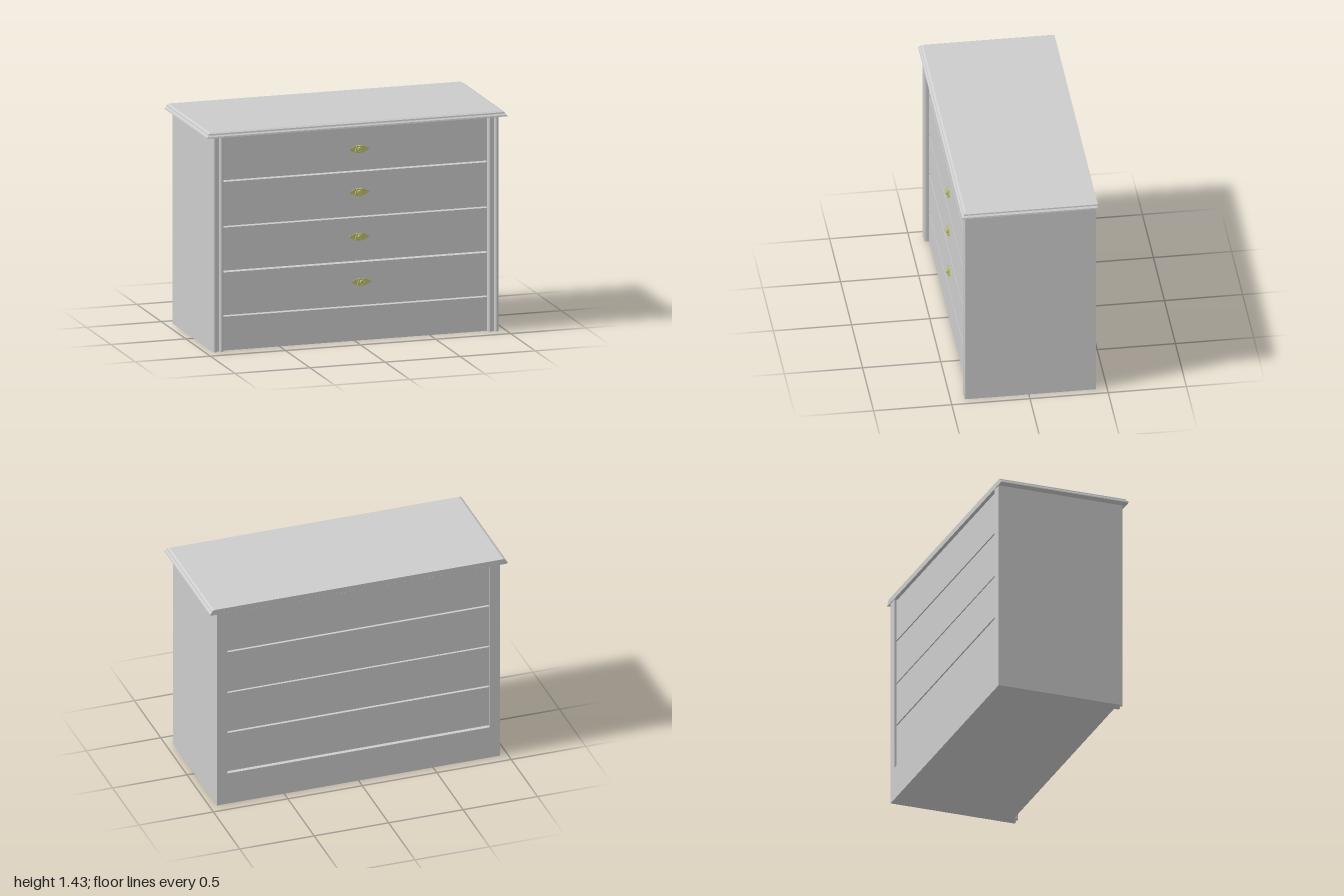
import * as THREE from 'three';

const wood = new THREE.MeshStandardMaterial({ color: 0xcccccc });
const brass = new THREE.MeshStandardMaterial({ color: 0xbdbd72 });

const BACK = -0.43, FACE = 0.38; // rear of the carcass, plane of the drawer fronts

function add(parent, name, geometry, material = wood) {
  const mesh = new THREE.Mesh(geometry, material);
  mesh.name = name;
  parent.add(mesh);
  return mesh;
}

// Box given by its limits on each axis
function box(x0, x1, y0, y1, z0, z1) {
  return new THREE.BoxGeometry(x1 - x0, y1 - y0, z1 - z0)
    .translate((x0 + x1) / 2, (y0 + y1) / 2, (z0 + z1) / 2);
}

// Top board: rectangular rings stacked upward, moulded on front and sides, flat at the back
function topGeometry() {
  const rings = [[0.985, 1.395], [1, 1.398], [0.998, 1.407], [0.988, 1.415], [0.986, 1.424], [0.972, 1.432]]
    .map(([x, y]) => {
      const f = x - 0.566;
      return [[-x, y, BACK - 0.004], [-x, y, f], [x, y, f], [x, y, BACK - 0.004]];
    });
  const pos = [];
  const quad = (a, b, c, d) => pos.push(...a, ...b, ...c, ...a, ...c, ...d);
  for (let r = 0; r < rings.length - 1; r++) {
    for (let i = 0; i < 4; i++) {
      const j = (i + 1) % 4;
      quad(rings[r][i], rings[r][j], rings[r + 1][j], rings[r + 1][i]);
    }
  }
  quad(...rings[rings.length - 1]);
  quad(...[...rings[0]].reverse());
  const g = new THREE.BufferGeometry();
  g.setAttribute('position', new THREE.Float32BufferAttribute(pos, 3));
  g.computeVertexNormals();
  return g;
}

// Reeded corner post: two rounded beads with a groove, extruded upward
function postGeometry() {
  const s = new THREE.Shape();
  s.moveTo(-0.035, 0);
  s.lineTo(0.035, 0);
  s.lineTo(0.035, 0.024);
  s.quadraticCurveTo(0.033, 0.034, 0.022, 0.034);
  s.quadraticCurveTo(0.012, 0.033, 0.008, 0.017);
  s.lineTo(-0.006, 0.017);
  s.quadraticCurveTo(-0.012, 0.033, -0.02, 0.033);
  s.quadraticCurveTo(-0.033, 0.032, -0.035, 0.016);
  s.closePath();
  return new THREE.ExtrudeGeometry(s, { depth: 1.395, bevelEnabled: false, curveSegments: 6 })
    .rotateX(-Math.PI / 2).scale(1, 1, -1);
}

// Mirrored extrusions need their winding turned round
function flip(g) {
  const p = g.attributes.position.array;
  for (let i = 0; i < p.length; i += 9) {
    for (let k = 0; k < 3; k++) [p[i + 3 + k], p[i + 6 + k]] = [p[i + 6 + k], p[i + 3 + k]];
  }
  g.computeVertexNormals();
  return g;
}

// Pull: pointed oval back plate, small tapered grip and a round boss
function makePull() {
  const pull = new THREE.Group();
  pull.name = 'pull';
  const plate = new THREE.Shape();
  plate.moveTo(-0.07, 0);
  plate.bezierCurveTo(-0.045, 0.012, -0.035, 0.025, 0, 0.025);
  plate.bezierCurveTo(0.035, 0.025, 0.045, 0.012, 0.07, 0);
  plate.bezierCurveTo(0.045, -0.012, 0.035, -0.025, 0, -0.025);
  plate.bezierCurveTo(-0.035, -0.025, -0.045, -0.012, -0.07, 0);
  add(pull, 'backPlate', new THREE.ExtrudeGeometry(plate, { depth: 0.004, bevelEnabled: false, curveSegments: 6 }), brass);

  const grip = new THREE.Shape([[-0.032, -0.018], [0.032, -0.018], [0.02, 0.024], [-0.02, 0.024]]
    .map(([x, y]) => new THREE.Vector2(x, y)));
  grip.holes.push(new THREE.Path().absarc(0, 0.002, 0.016, 0, Math.PI * 2, true));
  add(pull, 'grip', new THREE.ExtrudeGeometry(grip, { depth: 0.014, bevelEnabled: false, curveSegments: 6 }), brass);

  const boss = add(pull, 'boss', new THREE.CylinderGeometry(0.012, 0.015, 0.022, 10).rotateX(Math.PI / 2), brass);
  boss.position.set(0, 0.002, 0.011);
  return pull;
}

export function createModel() {
  const model = new THREE.Group();
  model.name = 'chestOfDrawers';

  add(model, 'topBoard', topGeometry());
  add(model, 'plinth', box(-0.88, 0.88, 0, 0.22, BACK, FACE));

  // Sides with their reeded front posts
  for (const side of [-1, 1]) {
    const name = side > 0 ? 'left' : 'right';
    const panel = box(-0.035, 0.035, 0, 1.395, BACK, FACE);
    add(model, name + 'Side', panel).position.x = side * 0.915;
    const post = postGeometry();
    if (side < 0) post.scale(-1, 1, 1);
    else flip(post);
    post.computeVertexNormals();
    add(model, name + 'Post', post).position.set(side * 0.915, 0, FACE);
  }

  // Drawers, separated by open gaps and set in slightly at the back
  const drawers = [[0.23, 0.508, 0.045, 0.38], [0.52, 0.8, 0.03, 0.675],
    [0.81, 1.097, 0.03, 0.965], [1.108, 1.385, 0.03, 1.245]];
  drawers.forEach(([y0, y1, pullX, pullY], i) => {
    const drawer = new THREE.Group();
    drawer.name = 'drawer' + (i + 1);
    add(drawer, 'drawerBox', box(-0.88, 0.88, y0, y1, BACK + 0.012, FACE));
    const pull = makePull();
    pull.position.set(pullX, pullY, FACE);
    drawer.add(pull);
    model.add(drawer);
  });
  return model;
}
